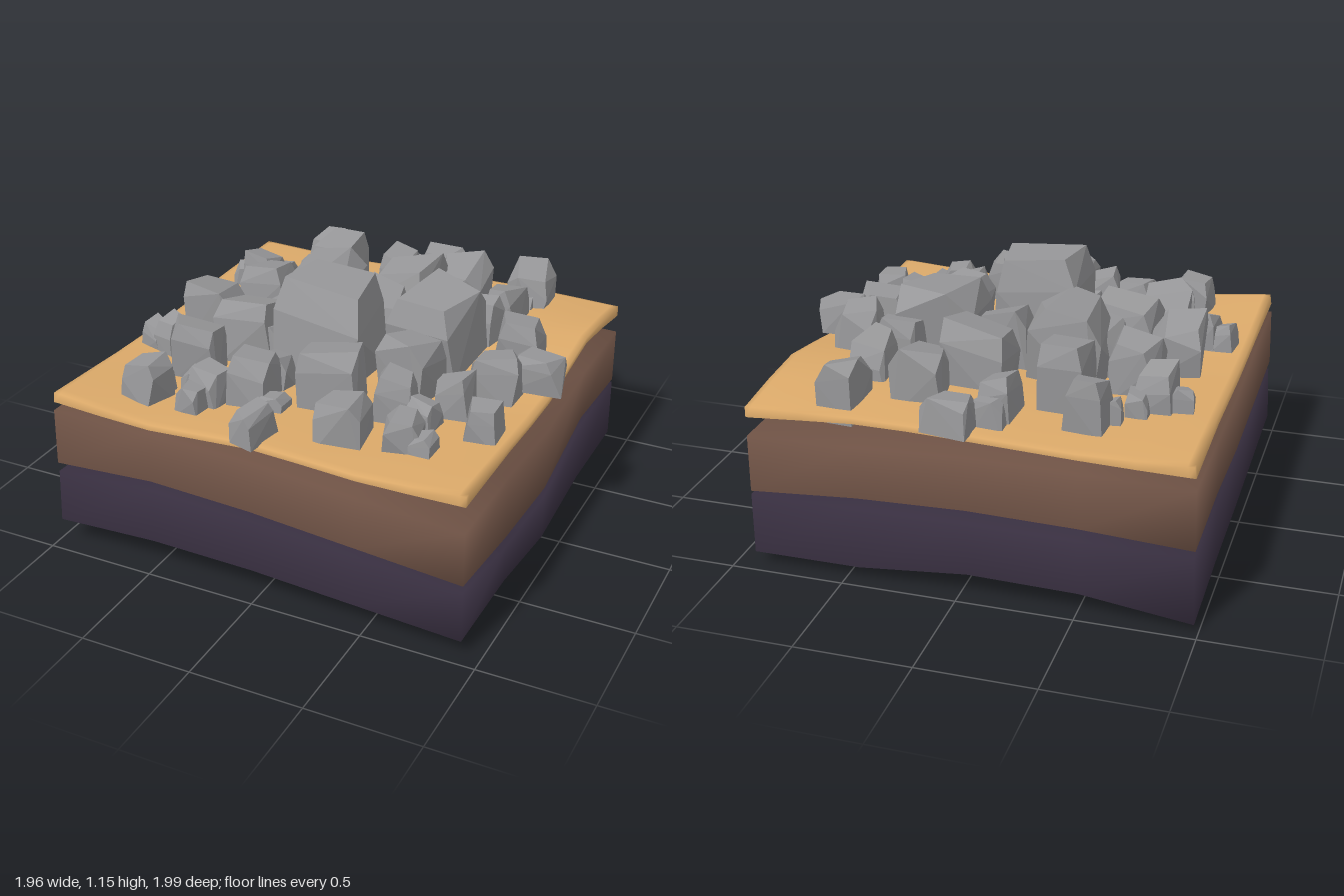
import * as THREE from 'three';
import { mergeVertices } from 'three/addons/utils/BufferGeometryUtils.js';
import { ConvexGeometry } from 'three/addons/geometries/ConvexGeometry.js';

function paint(name, color, side = THREE.FrontSide) {
  return Object.assign(new THREE.MeshStandardMaterial({ color, side }), { name });
}

// Seeded random numbers
function seeded(seed) {
  let s = seed * 7919 + 17;
  return () => {
    s = (s * 16807) % 2147483647;
    return s / 2147483647;
  };
}

// Smooth curve through five evenly spaced heights, t from 0 to 1
function sample(heights, t) {
  const i = Math.min(3, Math.floor(t * 4)), f = t * 4 - i;
  const s = (k) => (heights[Math.min(4, k + 1)] - heights[Math.max(0, k - 1)]) / 2;
  const a = heights[i], b = heights[i + 1], d = b - a;
  return a + f * s(i) + f * f * (3 * d - 2 * s(i) - s(i + 1)) + f * f * f * (s(i) + s(i + 1) - 2 * d);
}

// Height at (u, v), blended from four border profiles.
// front/back run from -x to +x, left/right run from back to front.
function blend({ front, back, left, right }, u, v) {
  const alongZ = sample(back, u) * (1 - v) + sample(front, u) * v;
  const alongX = sample(left, v) * (1 - u) + sample(right, v) * u;
  const corners = (back[0] * (1 - u) + back[4] * u) * (1 - v) + (front[0] * (1 - u) + front[4] * u) * v;
  return alongZ + alongX - corners;
}

// Smooth shell open below: a wavy top with walls down to wavy lower borders.
// nodes are the grid lines from 0 to 1, lip lowers the outermost top border.
function stratum(name, material, { nodes, xTop, xBottom, top, bottom, lip }) {
  const n = nodes.length - 1;
  const box = new THREE.BoxGeometry(1, 1, 1, n, 1, n);
  const under = box.groups[3];
  const index = Array.from(box.index.array);
  index.splice(under.start, under.count);
  box.setIndex(index);
  box.clearGroups();
  box.deleteAttribute('normal');
  box.deleteAttribute('uv');
  const geometry = mergeVertices(box);
  const p = geometry.attributes.position;
  for (let k = 0; k < p.count; k++) {
    const u = nodes[Math.round((p.getX(k) + 0.5) * n)], v = nodes[Math.round((p.getZ(k) + 0.5) * n)];
    const up = p.getY(k) > 0;
    const border = u === 0 || u === 1 || v === 0 || v === 1;
    const x0 = up ? xTop : xBottom;
    const y = blend(up ? top : bottom, u, v) - (up && border ? lip : 0);
    p.setXYZ(k, x0 + u * (0.915 - x0), y, -0.945 + v * 1.885);
  }
  geometry.computeVertexNormals();
  const mesh = new THREE.Mesh(geometry, material);
  mesh.name = name;
  return mesh;
}

// Faceted rock: hull of a base, a shoulder and a tilted top, fitted to its bounds.
// shoulder and crown are the widths of the upper rings relative to the base.
function rock(name, material, [x0, x1, z0, z1, top], seed, shoulder, crown) {
  const rand = seeded(seed);
  for (let k = 0; k < 5; k++) rand();
  const turn = (rand() - 0.5) * 0.4, tiltX = (rand() - 0.5) * 0.35, tiltZ = (rand() - 0.5) * 0.35;
  const points = [];
  const ring = (y, size, jitter, tilted) => {
    for (let k = 0; k < 4; k++) {
      const a = turn + Math.PI / 4 + (k * Math.PI) / 2 + (rand() - 0.5) * jitter;
      const r = size * (1 - rand() * 0.15);
      const x = Math.cos(a) * r, z = Math.sin(a) * r;
      points.push(new THREE.Vector3(x, y + (tilted ? x * tiltX + z * tiltZ : 0), z));
    }
  };
  ring(0, 1, 0.2, false);
  ring(0.7, shoulder, 0.5, true);
  ring(1, crown, 0.9, true);
  const box = new THREE.Box3().setFromPoints(points);
  const size = box.getSize(new THREE.Vector3());
  const overhangs = x1 > 0.93 || z1 > 0.95 || z0 < -0.95;
  const base = overhangs ? 0.73 : 0.68;
  points.forEach((q) => {
    q.sub(box.min).divide(size);
    q.set(x0 + q.x * (x1 - x0), base + q.y * (top - base), z0 + q.z * (z1 - z0));
  });
  const mesh = new THREE.Mesh(new ConvexGeometry(points), material);
  mesh.name = name;
  return mesh;
}

// Rocks as [xMin, xMax, zMin, zMax, top]
const boulders = [
  [-0.24, 0.18, -0.04, 0.37, 1.15], [-0.43, -0.08, -0.38, 0.03, 1.06], [0.15, 0.53, -0.3, 0.08, 1.06],
  [-0.07, 0.2, -0.57, -0.28, 1.04], [-0.43, -0.23, -0.65, -0.36, 1.02], [-0.09, 0.15, -0.28, 0.0, 1.0],
  [0.13, 0.37, -0.76, -0.5, 0.98], [-0.81, -0.56, -0.1, 0.16, 0.96], [-0.58, -0.29, 0.02, 0.28, 0.98],
  [-0.68, -0.43, 0.28, 0.53, 0.95], [-0.06, 0.26, 0.28, 0.58, 0.99], [0.22, 0.49, 0.08, 0.31, 0.97],
  [-0.5, -0.24, -0.18, 0.1, 0.92],
];
const rocks = [
  [-0.31, -0.11, 0.42, 0.67, 0.93], [0.16, 0.39, 0.57, 0.81, 0.9], [0.43, 0.61, 0.56, 0.75, 0.85],
  [-0.72, -0.53, 0.63, 0.83, 0.89], [-0.45, -0.28, 0.55, 0.73, 0.87], [-0.11, 0.04, 0.78, 0.99, 0.88],
  [-0.06, 0.15, -1.0, -0.82, 0.88], [-0.19, -0.02, -0.82, -0.62, 0.93], [-0.56, -0.38, -0.79, -0.61, 0.95],
  [0.44, 0.64, -0.9, -0.67, 0.95], [0.42, 0.59, -0.63, -0.41, 0.95], [-0.78, -0.6, -0.53, -0.35, 0.92],
  [-0.68, -0.44, -0.36, -0.14, 0.96], [0.59, 0.8, -0.32, -0.1, 0.95], [0.57, 0.82, 0.0, 0.18, 0.92],
  [0.73, 0.975, -0.1, 0.06, 0.89], [0.52, 0.69, 0.2, 0.38, 0.9], [0.7, 0.87, 0.35, 0.53, 0.86],
  [0.3, 0.5, 0.33, 0.53, 0.92], [0.35, 0.57, -0.4, -0.25, 0.95],
];
const pebbles = [
  [-0.86, -0.74, -0.5, -0.39, 0.83], [-0.91, -0.77, 0.22, 0.36, 0.84], [-0.83, -0.7, 0.23, 0.38, 0.88],
  [0.47, 0.6, 0.38, 0.53, 0.84], [-0.4, -0.24, 0.08, 0.25, 0.88], [-0.25, -0.1, 0.33, 0.46, 0.87],
  [-0.16, -0.02, 0.56, 0.67, 0.79], [-0.46, -0.33, 0.68, 0.81, 0.82], [-0.69, -0.59, -0.59, -0.46, 0.83],
  [-0.17, -0.01, -0.88, -0.77, 0.85], [0.55, 0.67, 0.6, 0.73, 0.8], [-0.53, -0.4, 0.53, 0.63, 0.8],
  [-0.6, -0.5, -0.68, -0.58, 0.83], [0.48, 0.59, -0.72, -0.65, 0.82], [-0.65, -0.54, 0.61, 0.7, 0.83],
];

export function createModel() {
  const sand = paint('sand', 0xdcaa6a, THREE.DoubleSide);
  const soil = paint('brown soil', 0x6d5144, THREE.DoubleSide);
  const bedrock = paint('dark bedrock', 0x372e3f, THREE.DoubleSide);
  const stone = paint('grey stone', 0x979799);
  const model = new THREE.Group();
  model.name = 'rockyGroundSection';

  // Ground layers, bottom to top
  const coarse = [0, 0.25, 0.5, 0.75, 1];
  model.add(stratum('bedrockLayer', bedrock, { nodes: coarse, xTop: -0.968, xBottom: -0.98, lip: 0,
    top: { front: [0.36, 0.385, 0.365, 0.33, 0.3], back: [0.33, 0.33, 0.335, 0.33, 0.33],
      left: [0.33, 0.33, 0.33, 0.34, 0.36], right: [0.33, 0.33, 0.21, 0.23, 0.3] },
    bottom: { front: [0.11, 0.13, 0.12, 0.09, 0.06], back: [0.03, 0.09, 0.1, 0.055, 0.055],
      left: [0.03, 0.06, 0.07, 0.09, 0.11], right: [0.055, 0.055, 0.0, 0.06, 0.065] } }));
  model.add(stratum('soilLayer', soil, { nodes: coarse, xTop: -0.965, xBottom: -0.972, lip: 0,
    top: { front: [0.66, 0.66, 0.645, 0.605, 0.57], back: [0.62, 0.63, 0.63, 0.61, 0.6],
      left: [0.62, 0.62, 0.62, 0.65, 0.66], right: [0.6, 0.6, 0.54, 0.57, 0.57] },
    bottom: { front: [0.4, 0.43, 0.41, 0.37, 0.33], back: [0.36, 0.385, 0.395, 0.38, 0.345],
      left: [0.36, 0.38, 0.36, 0.38, 0.4], right: [0.345, 0.37, 0.255, 0.28, 0.33] } }));
  const top = { front: [0.755, 0.712, 0.742, 0.718, 0.745], back: [0.73, 0.72, 0.74, 0.75, 0.74],
    left: [0.73, 0.73, 0.72, 0.73, 0.755], right: [0.74, 0.785, 0.715, 0.725, 0.745] };
  const bottom = {};
  for (const side in top) bottom[side] = top[side].map((y, k) => y - (k % 4 ? 0.034 : 0.055));
  const fine = [0, 0.015, 0.125, 0.25, 0.375, 0.5, 0.625, 0.75, 0.875, 0.985, 1];
  model.add(stratum('sandLayer', sand, { nodes: fine, xTop: -0.955, xBottom: -0.962, top, bottom, lip: 0.008 }));

  // Rock pile
  const pile = new THREE.Group();
  pile.name = 'rockPile';
  boulders.forEach((b, k) => pile.add(rock('boulder', stone, b, k + 1, 1, 0.8)));
  rocks.forEach((b, k) => pile.add(rock('rock', stone, b, k + 41, 0.93, 0.74)));
  pebbles.forEach((b, k) => pile.add(rock('smallRock', stone, b, k + 91, 0.93, 0.7)));
  model.add(pile);
  return model;
}
